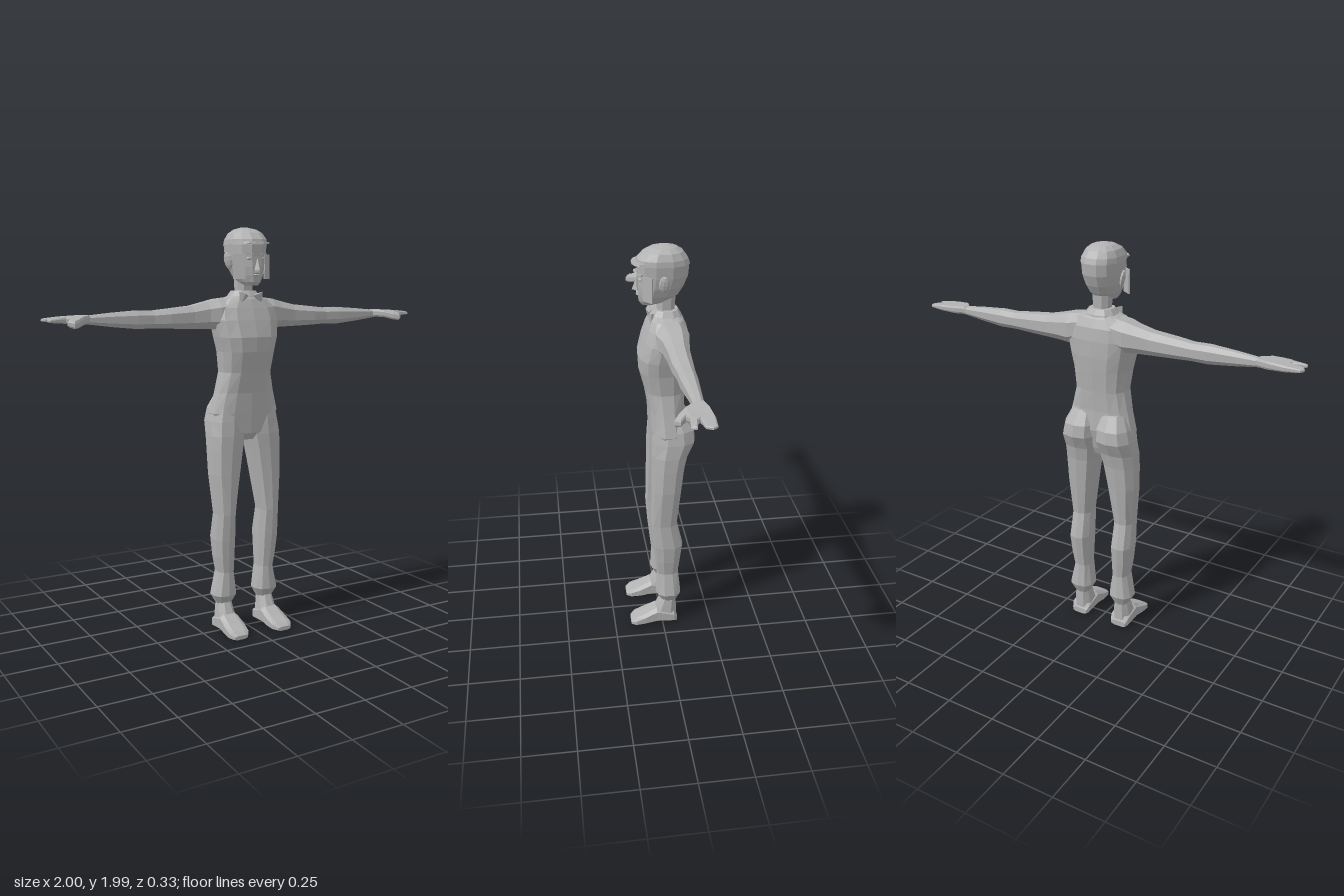
import * as THREE from 'three';

const grey = new THREE.MeshStandardMaterial({ color: 0xb2b2b2 });

// Faceted normals
function facet(geo) {
  const g = geo.index ? geo.toNonIndexed() : geo;
  g.deleteAttribute('uv');
  g.computeVertexNormals();
  return g;
}

// Loft along an axis. Rows: [t, aMin, aMax, bMin, bMax], t ascending.
// Axis y: a = x, b = z.  Axis x: a = z, b = y.  Axis z: a = y, b = x.
function loft(axis, rows, sides = 10, square = 0.85) {
  const pos = [], idx = [];
  const put = (t, a, b) =>
    pos.push(...(axis === 'y' ? [a, t, b] : axis === 'x' ? [t, b, a] : [b, a, t]));
  const pow = v => Math.sign(v) * Math.abs(v) ** square;
  for (const [t, a0, a1, b0, b1] of rows) {
    for (let i = 0; i < sides; i++) {
      const k = ((i + 0.5) / sides) * Math.PI * 2;
      const grow = 1 / Math.cos(Math.PI / sides) ** square;
      const c = Math.max(-1, Math.min(1, pow(Math.cos(k)) * grow));
      const s = Math.max(-1, Math.min(1, pow(Math.sin(k)) * grow));
      put(t, (a0 + a1) / 2 + c * (a1 - a0) / 2, (b0 + b1) / 2 + s * (b1 - b0) / 2);
    }
  }
  const last = rows.length - 1;
  for (let j = 0; j < last; j++) {
    for (let i = 0; i < sides; i++) {
      const a = j * sides + i, b = j * sides + (i + 1) % sides;
      idx.push(a, a + sides, b, b, a + sides, b + sides);
    }
  }
  // End caps
  for (const [j, flip] of [[0, false], [last, true]]) {
    const [t, a0, a1, b0, b1] = rows[j], mid = pos.length / 3;
    put(t, (a0 + a1) / 2, (b0 + b1) / 2);
    for (let i = 0; i < sides; i++) {
      const a = j * sides + i, b = j * sides + (i + 1) % sides;
      idx.push(mid, flip ? b : a, flip ? a : b);
    }
  }
  const g = new THREE.BufferGeometry();
  g.setAttribute('position', new THREE.Float32BufferAttribute(pos, 3));
  g.setIndex(idx);
  return facet(g);
}

// Rows symmetric in x: [y, halfWidth, zBack, zFront]
const upright = (rows, sides, square) =>
  loft('y', rows.map(([y, w, b, f]) => [y, -w, w, b, f]), sides, square);

// Mirrored copy with corner order restored
function mirrored(geo) {
  const g = geo.clone().scale(-1, 1, 1), p = g.attributes.position;
  for (let i = 0; i < p.count; i += 3) {
    const v = [1, 2].map(k => [p.getX(i + k), p.getY(i + k), p.getZ(i + k)]);
    p.setXYZ(i + 1, ...v[1]);
    p.setXYZ(i + 2, ...v[0]);
  }
  g.computeVertexNormals();
  return g;
}

// Flat hand outline, thinned to the fingertips, with a drooping thumb
function handGeometry() {
  const outline = [[0.79, -0.07], [0.84, -0.083], [0.92, -0.09], [0.985, -0.086], [0.995, -0.07],
    [0.985, -0.048], [0.92, -0.036], [0.93, -0.02], [0.985, -0.008], [0.982, 0.006], [0.91, 0.0],
    [0.885, 0.015], [0.91, 0.04], [0.89, 0.056], [0.865, 0.04], [0.83, 0.008], [0.79, -0.034]];
  const g = new THREE.ExtrudeGeometry(new THREE.Shape(outline.map(p => new THREE.Vector2(...p))),
    { depth: 0.016, bevelEnabled: true, bevelThickness: 0.008, bevelSize: 0.005, bevelSegments: 1 });
  g.translate(0, 0, -0.008).rotateX(Math.PI / 2);
  const p = g.attributes.position;
  for (let i = 0; i < p.count; i++) {
    const thin = 1.15 - 0.7 * THREE.MathUtils.smoothstep(p.getX(i), 0.86, 1);
    p.setY(i, 1.567 + p.getY(i) * thin - Math.max(0, p.getZ(i)) * 0.35);
  }
  return facet(g);
}

export function createModel() {
  const model = new THREE.Group();
  model.name = 'figure';
  const add = (name, geo) => {
    const mesh = new THREE.Mesh(geo, grey);
    mesh.name = name;
    model.add(mesh);
  };
  const pair = (name, geo) => {
    add('left' + name, geo);
    add('right' + name, mirrored(geo));
  };

  // Trunk, neck and collar
  add('torso', upright([
    [0.965, 0.06, -0.08, 0.02], [1.0, 0.13, -0.095, 0.045], [1.1, 0.178, -0.12, 0.05],
    [1.2, 0.152, -0.115, 0.055], [1.3, 0.13, -0.12, 0.072], [1.4, 0.14, -0.13, 0.098],
    [1.47, 0.157, -0.135, 0.102], [1.55, 0.172, -0.135, 0.08], [1.61, 0.162, -0.128, 0.06],
    [1.65, 0.115, -0.11, 0.045], [1.67, 0.06, -0.09, 0.03]], 14, 0.8));
  add('neck', upright([[1.62, 0.048, -0.085, 0.02], [1.68, 0.04, -0.07, 0.008],
    [1.76, 0.042, -0.075, 0.01]], 8));
  add('collar', upright([[1.63, 0.088, -0.11, 0.05], [1.665, 0.075, -0.103, 0.036],
    [1.69, 0.058, -0.088, 0.02]], 10));
  const flap = new THREE.ConeGeometry(0.035, 0.065, 4);
  flap.scale(0.8, 1, 0.4).rotateX(Math.PI).rotateZ(0.35).translate(0.05, 1.645, 0.042);
  pair('CollarPoint', facet(flap));

  // Legs with seat bulge and flared cuffs
  pair('Leg', loft('y', [
    [0.125, 0.085, 0.15, -0.07, 0.0], [0.18, 0.057, 0.18, -0.097, 0.032],
    [0.3, 0.072, 0.155, -0.085, 0.026], [0.38, 0.07, 0.168, -0.095, 0.035],
    [0.47, 0.068, 0.176, -0.105, 0.045], [0.6, 0.072, 0.172, -0.076, 0.055],
    [0.8, 0.04, 0.19, -0.098, 0.052], [0.92, 0.02, 0.192, -0.112, 0.05],
    [0.99, 0.006, 0.191, -0.128, 0.05], [1.06, 0.004, 0.185, -0.163, 0.046],
    [1.12, 0.006, 0.172, -0.157, 0.04], [1.19, 0.025, 0.14, -0.115, 0.02]], 10));
  // Ankles and feet
  pair('Ankle', loft('y', [[0.03, 0.068, 0.168, -0.073, 0.06], [0.1, 0.078, 0.16, -0.072, 0.028],
    [0.15, 0.084, 0.152, -0.07, 0.005]], 8));
  pair('Foot', loft('z', [
    [-0.077, 0, 0.03, 0.078, 0.16], [-0.06, 0, 0.06, 0.068, 0.17], [0.03, 0, 0.09, 0.068, 0.17],
    [0.09, 0, 0.058, 0.065, 0.176], [0.14, 0, 0.036, 0.07, 0.177],
    [0.165, 0, 0.02, 0.09, 0.16]], 8, 0.6));

  // Arms and hands
  pair('Arm', loft('x', [
    [0.08, -0.115, 0.04, 1.52, 1.658], [0.15, -0.12, 0.03, 1.505, 1.65],
    [0.2, -0.112, 0.01, 1.51, 1.638], [0.28, -0.1, 0.0, 1.512, 1.62],
    [0.4, -0.094, -0.002, 1.516, 1.608], [0.48, -0.09, -0.012, 1.52, 1.6],
    [0.56, -0.088, -0.013, 1.518, 1.602], [0.68, -0.08, -0.022, 1.53, 1.594],
    [0.8, -0.073, -0.03, 1.545, 1.583], [0.83, -0.07, -0.034, 1.552, 1.58]], 8));
  pair('Hand', handGeometry());

  // Head and cap
  add('head', upright([
    [1.715, 0.026, 0.02, 0.08], [1.73, 0.042, -0.05, 0.092], [1.76, 0.06, -0.085, 0.096],
    [1.8, 0.074, -0.11, 0.098], [1.85, 0.083, -0.13, 0.097], [1.91, 0.088, -0.135, 0.1]], 12));
  add('cap', upright([
    [1.905, 0.09, -0.138, 0.104], [1.93, 0.088, -0.13, 0.098], [1.96, 0.074, -0.108, 0.07],
    [1.978, 0.05, -0.08, 0.035], [1.987, 0.018, -0.045, -0.01]], 12));
  add('visor', upright([[1.909, 0.07, 0.04, 0.125], [1.917, 0.068, 0.04, 0.122]], 12));

  // Face
  const nose = new THREE.ConeGeometry(0.022, 0.06, 4);
  nose.scale(0.8, 1, 1).translate(0, 1.815, 0.102);
  add('nose', facet(nose));
  for (const [name, y, w] of [['upperLip', 1.774, 0.024], ['lowerLip', 1.763, 0.02]]) {
    const lip = new THREE.SphereGeometry(1, 6, 4);
    lip.scale(w, 0.006, 0.01).translate(0, y, 0.096);
    add(name, facet(lip));
  }
  const eye = new THREE.SphereGeometry(1, 6, 4);
  eye.scale(0.016, 0.008, 0.008).rotateY(0.3).translate(0.036, 1.84, 0.09);
  pair('Eye', facet(eye));
  const brow = new THREE.BoxGeometry(0.038, 0.008, 0.012);
  brow.rotateY(0.3).rotateZ(0.05).translate(0.038, 1.862, 0.09);
  pair('Brow', facet(brow));

  // Ears
  const ear = new THREE.SphereGeometry(1, 8, 6);
  ear.scale(0.012, 0.042, 0.025).rotateX(-0.15).rotateZ(-0.2).rotateY(-0.35).translate(0.095, 1.83, -0.012);
  pair('Ear', facet(ear));

  // Flat plates beside the cheeks
  const plate = new THREE.BoxGeometry(0.06, 0.115, 0.006);
  plate.rotateY(0.65).translate(0.075, 1.803, 0.06);
  pair('CheekPlate', facet(plate));

  return model;
}
